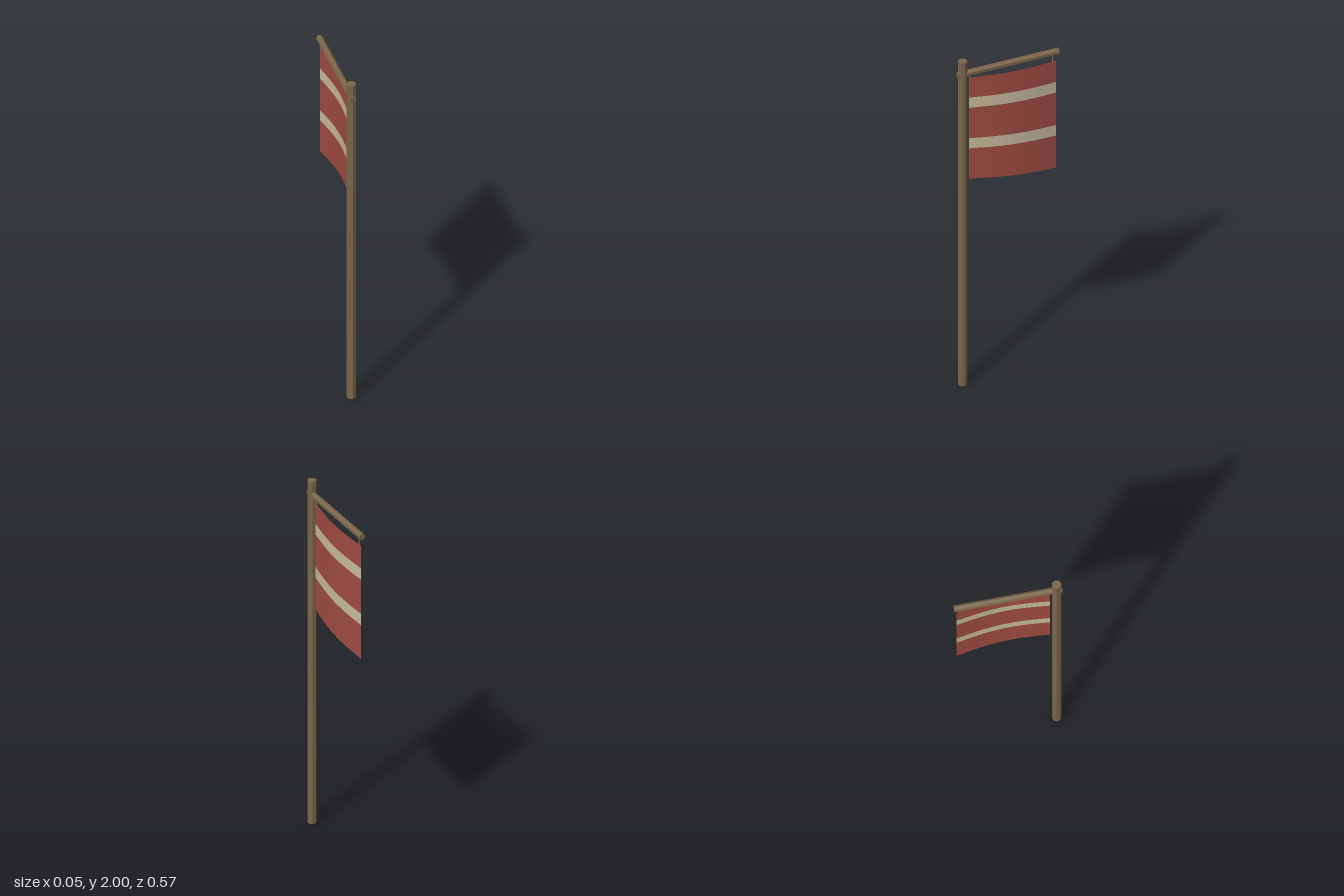
import * as THREE from 'three';

const wood = new THREE.MeshStandardMaterial({ color: 0x7a664b, flatShading: true });
const red = new THREE.MeshStandardMaterial({ color: 0xa04c42, flatShading: true, side: THREE.DoubleSide });
const cream = new THREE.MeshStandardMaterial({ color: 0xc9bb9c, flatShading: true, side: THREE.DoubleSide });

const Z_POLE_EDGE = 0.22, Z_FREE_EDGE = -0.272, BULGE = 0.022;

function addMesh(group, name, geometry, material) {
  const mesh = new THREE.Mesh(geometry, material);
  mesh.name = name;
  group.add(mesh);
  return mesh;
}

// One horizontal band of cloth; each edge is [height at pole, height at free end]
function clothBand(top, bottom) {
  const geometry = new THREE.PlaneGeometry(1, 1, 8, 1);
  const p = geometry.attributes.position;
  for (let i = 0; i < p.count; i++) {
    const t = p.getX(i) + 0.5;
    const edge = p.getY(i) > 0 ? top : bottom;
    p.setXYZ(
      i,
      BULGE * Math.sin(Math.PI * t),
      THREE.MathUtils.lerp(edge[0], edge[1], t),
      THREE.MathUtils.lerp(Z_POLE_EDGE, Z_FREE_EDGE, t)
    );
  }
  geometry.computeVertexNormals();
  return geometry;
}

export function createModel() {
  const model = new THREE.Group();
  model.name = 'bannerPole';

  // Upright pole
  addMesh(model, 'pole', new THREE.CylinderGeometry(0.025, 0.025, 2, 7), wood)
    .position.set(0, 1, 0.255);

  // Cross arm, passing through the pole
  const arm = new THREE.CylinderGeometry(0.018, 0.018, 0.568, 7);
  arm.rotateY(-Math.PI / 2).rotateX(Math.PI / 2);
  addMesh(model, 'crossArm', arm, wood).position.set(0, 1.918, -0.001);

  // Short ties between the arm and the cloth
  for (const [z, bottom] of [[0.213, 1.875], [-0.253, 1.86]]) {
    const height = 1.91 - bottom;
    addMesh(model, 'tie', new THREE.CylinderGeometry(0.005, 0.005, height, 5), wood)
      .position.set(0, bottom + height / 2, z);
  }

  // Striped cloth
  const edges = [
    [1.887, 1.862], [1.763, 1.73], [1.7, 1.664],
    [1.512, 1.463], [1.449, 1.398], [1.262, 1.2],
  ];
  const banner = new THREE.Group();
  banner.name = 'banner';
  for (let i = 0; i < edges.length - 1; i++) {
    const stripe = i % 2 === 1;
    addMesh(banner, stripe ? 'stripe' : 'cloth', clothBand(edges[i], edges[i + 1]), stripe ? cream : red);
  }
  model.add(banner);

  return model;
}
